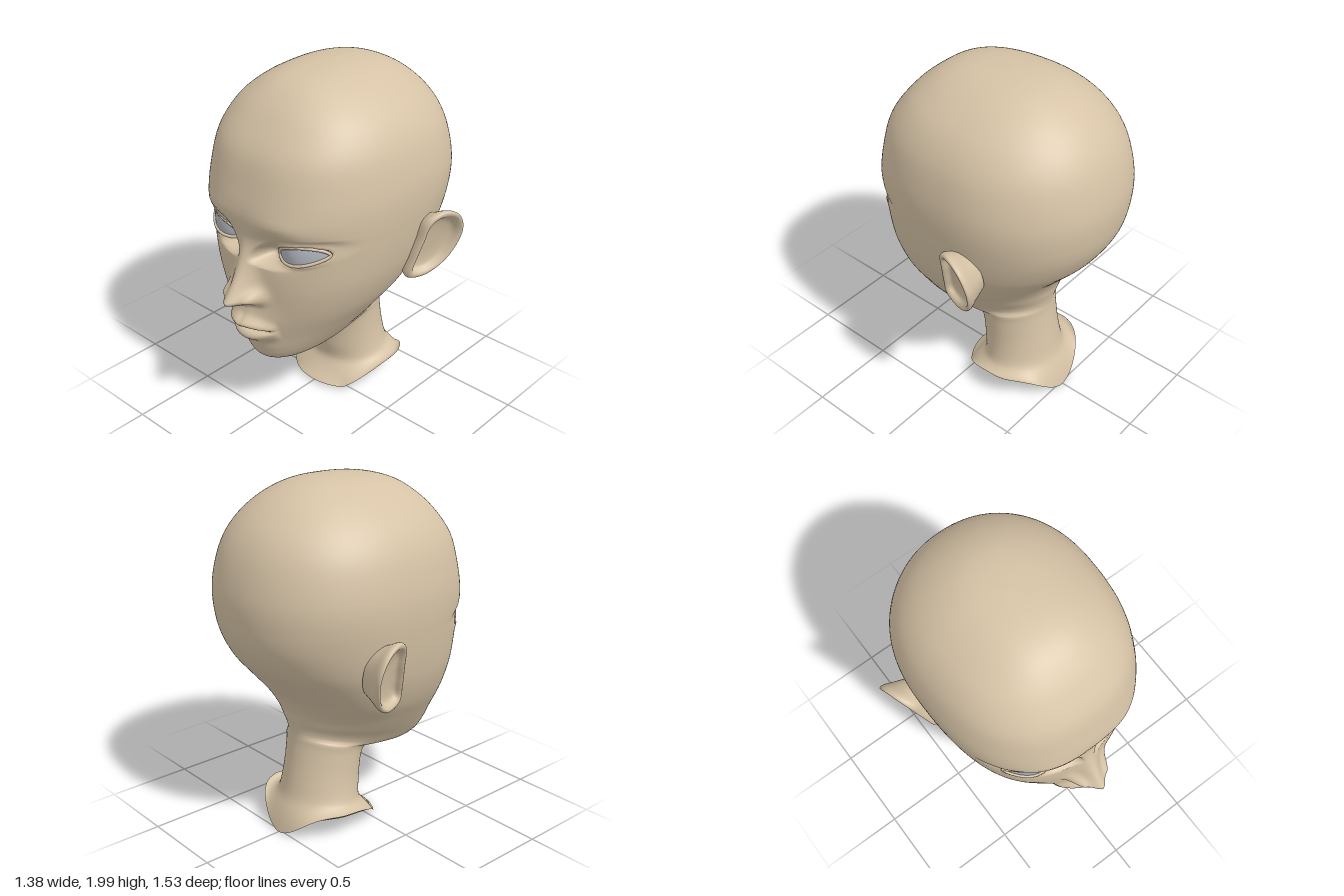
import * as THREE from 'three';

const skin = new THREE.MeshStandardMaterial({ color: 0xd6c3a6, side: THREE.DoubleSide });
skin.name = 'skin';
const eyeGrey = new THREE.MeshStandardMaterial({ color: 0xb2b6c0 });
eyeGrey.name = 'eyeGrey';

const { lerp, smoothstep, clamp } = THREE.MathUtils;
const g = t => Math.exp(-t * t);

// Surface of closed rings: point(u, v) with u from the list us, v periodic in 0..1.
function ringSurface(us, cols, point, side = 1) {
  const pos = [], index = [];
  us.forEach((u, i) => {
    for (let j = 0; j < cols; j++) {
      pos.push(...point(u, side * j / cols));
      if (i === us.length - 1) continue;
      const a = i * cols + j, b = i * cols + (j + 1) % cols;
      index.push(a, a + cols, b, b, a + cols, b + cols);
    }
  });
  const geo = new THREE.BufferGeometry();
  geo.setAttribute('position', new THREE.Float32BufferAttribute(pos, 3));
  geo.setIndex(index);
  geo.computeVertexNormals();
  return geo;
}

// Smooth interpolation of table rows.
function sample(table, t) {
  const n = table.length - 1, i = Math.min(Math.floor(t), n - 1), f = t - i;
  const row = k => table[clamp(k, 0, n)];
  return table[0].map((_, c) => {
    const p0 = row(i - 1)[c], p1 = row(i)[c], p2 = row(i + 1)[c], p3 = row(i + 2)[c];
    return p1 + 0.5 * f * (p2 - p0 + f * (2 * p0 - 5 * p1 + 4 * p2 - p3 + f * (3 * (p1 - p2) + p3 - p0)));
  });
}

// Sections, crown to neck: front y, front z, back y, back z, half width, z of widest point.
const sections = [
  [2.0, -0.1, 2.0, -0.1, 0, -0.1],
  [1.983, 0.12, 1.99, -0.26, 0.13, -0.08],
  [1.945, 0.26, 1.96, -0.385, 0.24, -0.08],
  [1.88, 0.36, 1.89, -0.515, 0.355, -0.09],
  [1.79, 0.45, 1.785, -0.63, 0.46, -0.1],
  [1.65, 0.55, 1.66, -0.705, 0.535, -0.12],
  [1.48, 0.6, 1.5, -0.75, 0.573, -0.14],
  [1.34, 0.625, 1.36, -0.76, 0.58, -0.14],
  [1.2, 0.61, 1.2, -0.735, 0.565, -0.11],
  [1.05, 0.6, 1.06, -0.665, 0.54, -0.08],
  [0.9, 0.595, 0.95, -0.575, 0.505, -0.05],
  [0.74, 0.58, 0.83, -0.475, 0.445, -0.02],
  [0.6, 0.56, 0.74, -0.425, 0.37, 0],
  [0.5, 0.55, 0.67, -0.405, 0.31, 0],
  [0.42, 0.51, 0.63, -0.395, 0.262, -0.02],
  [0.385, 0.42, 0.6, -0.39, 0.235, -0.06],
  [0.405, 0.25, 0.58, -0.388, 0.225, -0.12],
  [0.44, 0.1, 0.56, -0.388, 0.22, -0.17],
  [0.39, 0.035, 0.5, -0.392, 0.215, -0.18],
  [0.25, 0.01, 0.34, -0.415, 0.222, -0.2],
  [0.13, 0.0, 0.17, -0.45, 0.255, -0.22],
  [0.025, 0.1, 0.01, -0.515, 0.33, -0.25],
];

// Almond eye outline and eyeball depth, for the +x side.
const eyeMid = u => 1.148 + 0.0275 * u;
const eyeZ = (x, y) => 0.535 - 4 * (x - 0.25) ** 2 - 2 * (y - 1.155) ** 2;
function eyePoint(r, angle) {
  const u = r * Math.cos(angle), s = Math.sin(angle);
  const x = 0.285 + 0.135 * u;
  const y = eyeMid(u) + r * s * Math.abs(s) ** 0.25 * (s > 0 ? 0.062 : 0.038);
  return [x, y, eyeZ(x, y)];
}

// Nose, lips, sockets and lids pushed out of the plain face.
function sculpt(x, y, z) {
  const ax = Math.abs(x);
  let h = 0;
  // nose ridge, tip and wings
  const t = clamp((1.22 - y) / 0.355, 0, 1);
  const under = 1 - smoothstep(0.865 - y + 0.25 * ax, 0, 0.08);
  h += 0.165 * t ** 1.6 * under * g(ax / (0.045 + 0.032 * t));
  h += 0.06 * g((ax - 0.09) / 0.038) * g((y - 0.88) / 0.043);
  // mouth
  h += 0.055 * g(ax / 0.14) * g((y - 0.7) / 0.13);
  const taper = Math.sqrt(Math.max(0, 1 - (ax / 0.165) ** 2));
  h += 0.05 * taper * g((y - 0.707 + 0.03 * (ax / 0.15) ** 2 + 0.008 * g(ax / 0.02)) / 0.031);
  h += 0.05 * taper * g((y - 0.608 - 0.03 * (ax / 0.15) ** 2) / 0.04);
  h -= 0.045 * taper * g((y - 0.662) / 0.012);
  // sockets and brow
  h -= 0.05 * g((ax - 0.2) / 0.11) * g((y - 1.18) / 0.08);
  h += 0.012 * g((ax - 0.24) / 0.15) * g((y - 1.31) / 0.05);
  z += h * smoothstep(z, 0.2, 0.4);
  // eyelids, with the face sunk behind the eye
  const u = (ax - 0.285) / 0.135, v = y - eyeMid(u);
  const d = Math.hypot(u, v / (v > 0 ? 0.062 : 0.038));
  const lid = eyeZ(ax, y) + lerp(-0.03, 0.014, smoothstep(d, 0.95, 1.15));
  return z > 0.2 ? lerp(lid, z, smoothstep(d, 1.2, 1.9)) : z;
}

function headPoint(t, v) {
  const [yf, zf, yb, zb, w, zc] = sample(sections, t);
  const p = 2 * Math.PI * v, a = p - 0.5 * Math.sin(p);
  const s = Math.sin(a), c = Math.cos(a), low = smoothstep(t, 9, 13);
  const n = c > 0 ? lerp(2.45, 2.05, low) : lerp(2.15, 1.9, low);
  const r = (Math.abs(s) ** n + Math.abs(c) ** n) ** (-1 / n);
  const x = w * s * r;
  const z = zc + (c > 0 ? zf - zc : zc - zb) * c * r;
  let y = lerp(yb, yf, (z - zb) / (zf - zb + 1e-6));
  // cut edge of the neck rises at the sides
  const rise = z > -0.28 ? ((z + 0.28) / 0.32) ** 2 : ((z + 0.28) / 0.235) ** 4;
  y += 0.155 * Math.max(0, 1 - rise) * Math.max(0, t - 19.6) ** 1.6 / 1.71;
  return [x, y, c > 0 && t < 16 ? sculpt(x, y, z) : z];
}

// Ear: outline in (z, y) and layers of [scale, outward offset] from root over rim to bowl.
const earOutline = new THREE.CatmullRomCurve3([
  [-0.23, 1.26], [-0.33, 1.22], [-0.383, 1.1], [-0.33, 0.93], [-0.21, 0.845],
  [-0.1, 0.865], [-0.105, 0.98], [-0.125, 1.1], [-0.15, 1.22],
].map(([z, y]) => new THREE.Vector3(0, y, z)), true);
const earLayers = [[0.7, -0.13], [0.86, -0.06], [0.97, -0.02], [1, 0.003], [0.97, 0.02],
  [0.89, 0.023], [0.81, 0.01], [0.7, -0.018], [0.4, -0.03], [0, -0.032]];

function earPoint(u, v, side) {
  const [s, off] = sample(earLayers, u);
  const p = earOutline.getPoint(((v % 1) + 1) % 1);
  const y = lerp(1.05, p.y, s), z = lerp(-0.24, p.z, s);
  return [side * (0.555 + 0.33 * (-0.1 - z) + 0.22 * (y - 1.05) + off), y, z];
}

export function createModel() {
  const model = new THREE.Group();
  const add = (name, geo, mat) => {
    const mesh = new THREE.Mesh(geo, mat);
    mesh.name = name;
    model.add(mesh);
  };
  const steps = (from, to, count) => Array.from({ length: count }, (_, i) => from + (to - from) * i / count);

  // finer rows across the face
  const rows = [...steps(0, 7.5, 36), ...steps(7.5, 13.5, 100), ...steps(13.5, 21, 36), 21];
  add('headAndNeck', ringSurface(rows, 240, headPoint), skin);

  for (const side of [1, -1]) {
    const label = side > 0 ? 'left' : 'right';
    add(label + 'Ear', ringSurface([...steps(0, 9, 36), 9], 56, (u, v) => earPoint(u, v, side), side), skin);
    add(label + 'Eye', ringSurface([...steps(0, 1, 8), 1.02], 48, (r, v) => {
      const [x, y, z] = eyePoint(r, 2 * Math.PI * v);
      return [side * x, y, z];
    }, side), eyeGrey);
    // rim of the eyelids
    const rim = steps(0, 2 * Math.PI, 32).map(a => {
      const [x, y, z] = eyePoint(1.06, a);
      return new THREE.Vector3(side * x, y, z + 0.004);
    });
    add(label + 'EyelidRim', new THREE.TubeGeometry(new THREE.CatmullRomCurve3(rim, true), 64, 0.009, 8, true), skin);
  }
  return model;
}
